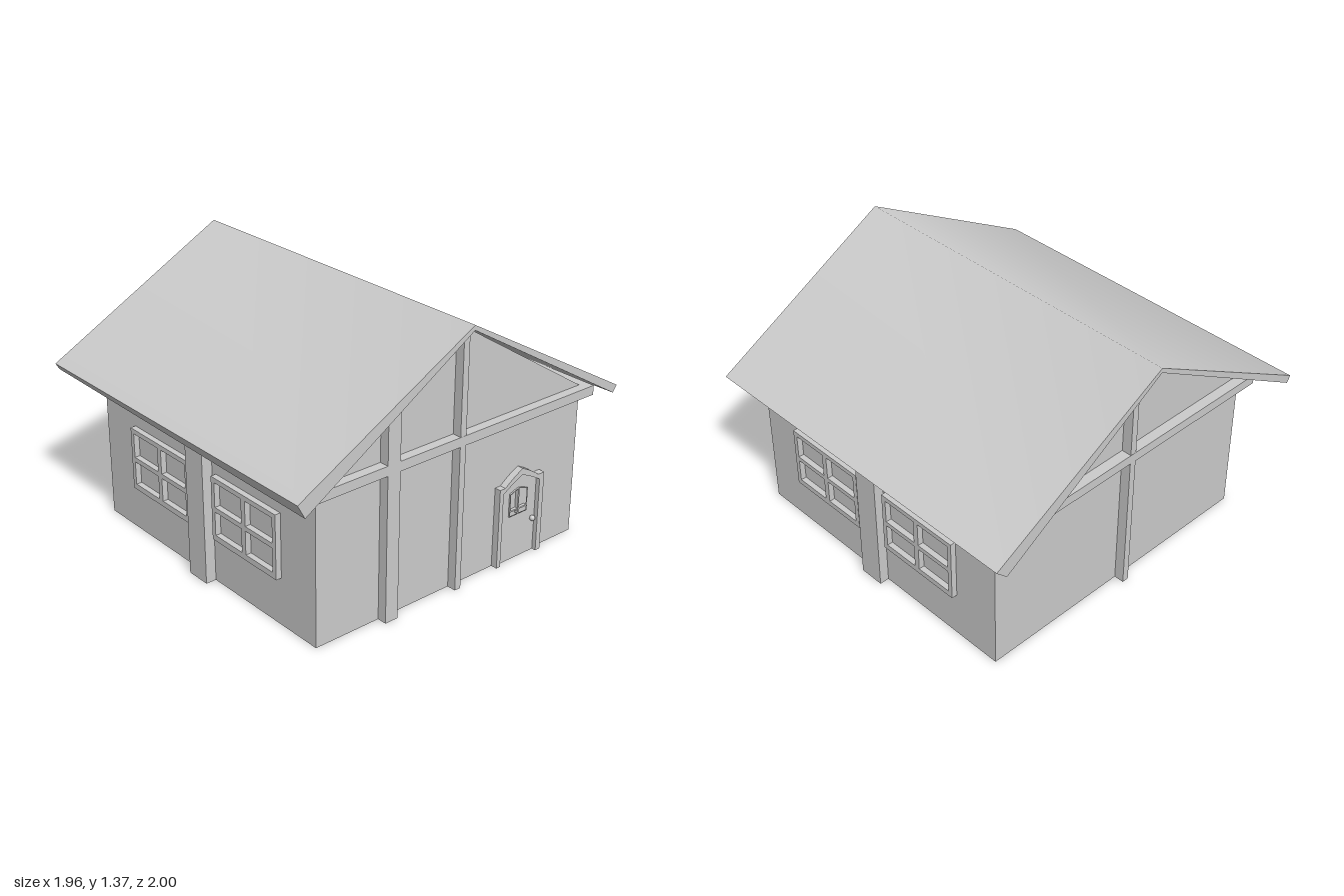
import * as THREE from 'three';
import { toCreasedNormals } from 'three/addons/utils/BufferGeometryUtils.js';

const mat = new THREE.MeshStandardMaterial({ color: 0xcccccc });
const WALL = { left: 0.875, right: -0.79, front: 0.83, back: -0.84 };

function add(parent, name, geometry) {
  const mesh = new THREE.Mesh(geometry, mat);
  mesh.name = name;
  parent.add(mesh);
  return mesh;
}

// box given by its lower and upper limits
function block(parent, name, [x0, x1], [y0, y1], [z0, z1]) {
  const mesh = add(parent, name, new THREE.BoxGeometry(x1 - x0, y1 - y0, z1 - z0));
  mesh.position.set((x0 + x1) / 2, (y0 + y1) / 2, (z0 + z1) / 2);
}

const outline = (pts) => pts.map(([a, b]) => new THREE.Vector2(a, b));

// flat outline of (z, y) points, extruded along x from x0 to x1
function slabX(parent, name, pts, x0, x1, holes = []) {
  const flip = (list) => outline(list.map(([z, y]) => [-z, y]));
  const shape = new THREE.Shape(flip(pts));
  shape.holes = holes.map((h) => new THREE.Path(flip(h)));
  const geo = new THREE.ExtrudeGeometry(shape, { depth: x1 - x0, bevelEnabled: false });
  geo.rotateY(Math.PI / 2).translate(x0, 0, 0);
  add(parent, name, geo);
}

const rect = (x0, x1, y0, y1) => [[x0, y0], [x1, y0], [x1, y1], [x0, y1]];

// gabled roof between two end sections, whose eaves differ in thickness;
// each section runs along the underside to the back and over the top to the front
function roofGeometry(underFrontA, underBackA, underFrontB, underBackB) {
  const section = (x, uf, ub) =>
    [uf, [0, 1.345], ub, [-1, 0.8], [0, 1.37], [1, 0.82]].map(([z, y]) => [x - 0.005 * z, y, z]);
  const p = [...section(-0.975, underFrontA, underBackA), ...section(0.972, underFrontB, underBackB)];
  const pos = [];
  const quad = (i, j, k, l) => [i, j, k, i, k, l].forEach((n) => pos.push(...p[n]));
  quad(5, 4, 1, 0);
  quad(4, 3, 2, 1);
  quad(6, 7, 10, 11);
  quad(7, 8, 9, 10);
  for (let i = 0; i < 6; i++) {
    const j = (i + 1) % 6;
    quad(i, j, j + 6, i + 6);
  }
  const geo = new THREE.BufferGeometry();
  geo.setAttribute('position', new THREE.Float32BufferAttribute(pos, 3));
  // soft shading over the ridge, sharp eaves and ends
  return toCreasedNormals(geo, 1.2);
}

// four-pane window frame lying on a wall
function windowFrame(parent, name, x, z) {
  const shape = new THREE.Shape(outline(rect(0, 0.485, 0, 0.335)));
  for (const [a, b] of [[0.025, 0.23], [0.26, 0.46]])
    for (const [c, d] of [[0.03, 0.155], [0.18, 0.31]])
      shape.holes.push(new THREE.Path(outline(rect(a, b, c, d))));
  const geo = new THREE.ExtrudeGeometry(shape, { depth: 0.03, bevelEnabled: false });
  add(parent, name, geo).position.set(x, 0.25, z);
}

// bowed arch from (z0, y) over the peak to (z1, y)
function arch(z0, z1, y, peak) {
  const pts = [];
  for (let i = 0; i <= 10; i++) {
    const t = i / 10;
    const s = 1 - Math.abs(2 * t - 1);
    pts.push([z0 + (z1 - z0) * t, y + (peak - y) * (s + 0.25 * s * (1 - s))]);
  }
  return pts;
}

export function createModel() {
  const house = new THREE.Group();
  house.name = 'house';
  const { left, right, front, back } = WALL;

  // walls with gables
  slabX(house, 'walls',
    [[front, 0], [back, 0], [back, 0.81], [0, 1.345], [front, 0.81]], right, left);

  // roof, its front eave thicker on the left and its back eave on the right
  add(house, 'roof', roofGeometry([0.98, 0.785], [-0.94, 0.74], [0.96, 0.745], [-0.975, 0.765]));

  // beam ring under the eaves
  const beamY = [0.76, 0.81];
  block(house, 'leftBeam', [left, 0.925], beamY, [-0.89, 0.885]);
  block(house, 'rightBeam', [-0.845, right], beamY, [-0.89, 0.885]);
  block(house, 'frontBeam', [right, left], beamY, [front, 0.885]);
  block(house, 'backBeam', [right, left], beamY, [-0.89, back]);

  // upright posts
  block(house, 'leftCentrePost', [left, 0.924], [0, 1.335], [-0.02, 0.016]);
  block(house, 'rightCentrePost', [-0.844, right], [0, 1.335], [-0.02, 0.016]);
  block(house, 'frontPost', [-0.02, 0.115], [0, 0.8], [front, 0.886]);
  block(house, 'backPost', [-0.02, 0.115], [0, 0.8], [-0.891, back]);
  slabX(house, 'leftWidePost', [[0.46, 0], [0.385, 0], [0.385, 1.105], [0.46, 1.06]], left, 0.926);

  // windows on front and back
  for (const x of [-0.53, 0.145]) {
    windowFrame(house, 'frontWindow', x, front);
    windowFrame(house, 'backWindow', x, back - 0.03);
  }

  // door with arched frame, small window and knob
  const door = new THREE.Group();
  door.name = 'door';
  house.add(door);
  const inner = [[-0.305, 0], ...arch(-0.305, -0.555, 0.4, 0.465), [-0.555, 0]];
  slabX(door, 'doorFrame', [
    [-0.28, 0], [-0.28, 0.43], ...arch(-0.315, -0.545, 0.43, 0.5),
    [-0.585, 0.43], [-0.585, 0], ...inner.slice().reverse(),
  ], left, left + 0.035);
  const glass = [[-0.37, 0.245], ...arch(-0.37, -0.49, 0.37, 0.39), [-0.49, 0.245]];
  slabX(door, 'doorLeaf', inner, left, left + 0.012, [glass]);
  const pane = [[-0.374, 0.249], ...arch(-0.374, -0.486, 0.367, 0.386), [-0.486, 0.249]];
  slabX(door, 'doorWindowFrame', glass, left, left + 0.02, [pane]);
  block(door, 'doorMullion', [left, left + 0.018], [0.247, 0.386], [-0.434, -0.426]);
  block(door, 'doorCrossbar', [left, left + 0.016], [0.268, 0.276], [-0.487, -0.373]);
  const knob = add(door, 'doorKnob', new THREE.SphereGeometry(0.015, 12, 8));
  knob.position.set(left + 0.02, 0.185, -0.535);

  return house;
}
